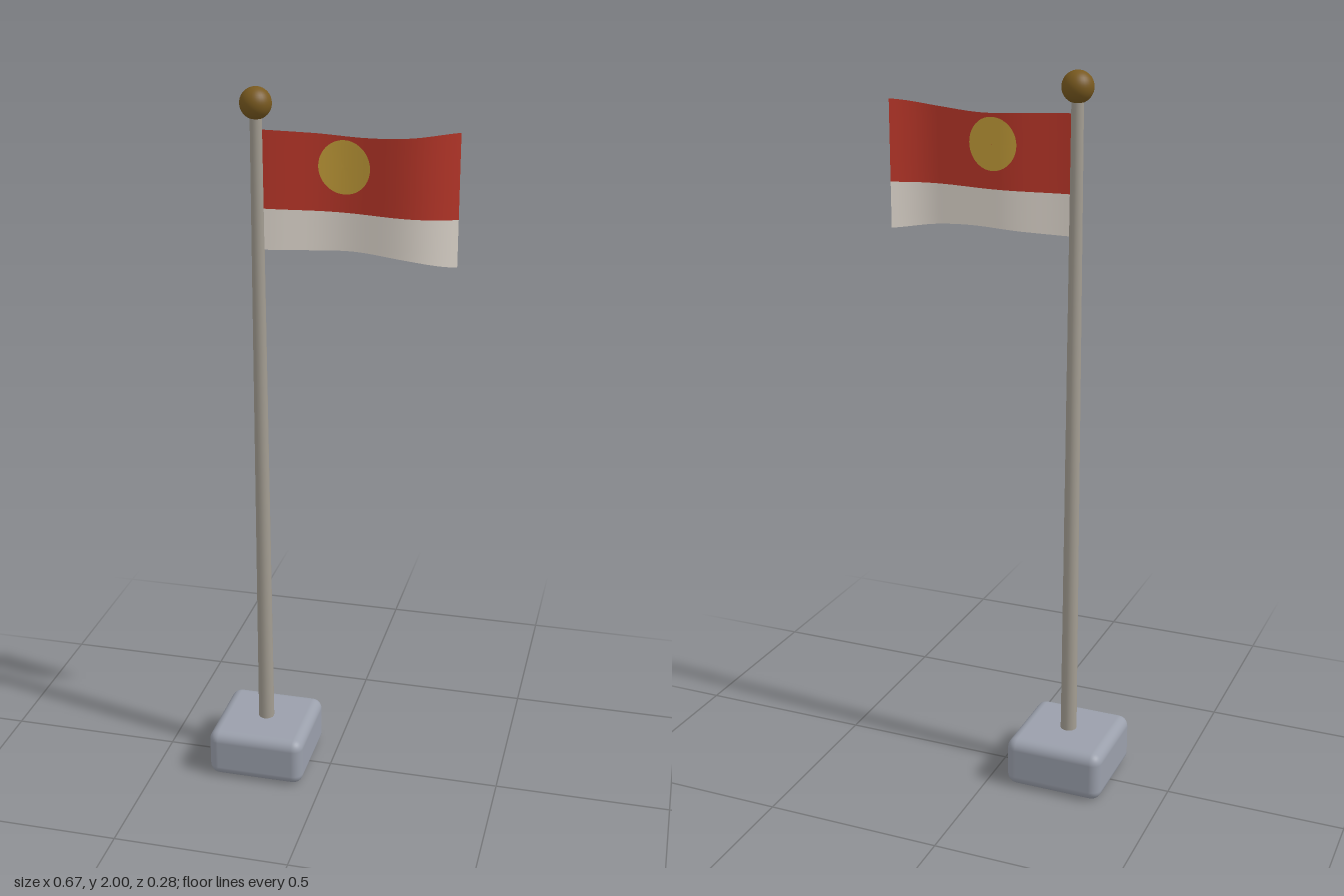
import * as THREE from 'three';
import { RoundedBoxGeometry } from 'three/addons/geometries/RoundedBoxGeometry.js';

const POLE_X = -0.197;
const FLAG_LEFT = -0.185, FLAG_RIGHT = 0.335;
const FLAG_MID = 1.733, STRIPE_Y = 1.685;

function material(name, color, side = THREE.FrontSide) {
  const m = new THREE.MeshStandardMaterial({ color, side });
  m.name = name;
  return m;
}

// depth of the cloth wave, growing away from the pole
function wave(x) {
  const u = (x - FLAG_LEFT) / (FLAG_RIGHT - FLAG_LEFT);
  return -0.034 * u * Math.sin(u * Math.PI * 2);
}

// half height of the cloth: slightly waisted, flaring at the free end
const edge = new THREE.SplineCurve([
  new THREE.Vector2(0, 0.158), new THREE.Vector2(0.25, 0.154),
  new THREE.Vector2(0.5, 0.149), new THREE.Vector2(0.75, 0.157), new THREE.Vector2(1, 0.173),
]);

// one horizontal band of cloth between two height rules
function band(low, high) {
  const g = new THREE.PlaneGeometry(1, 1, 32, 4);
  const p = g.attributes.position;
  for (let i = 0; i < p.count; i++) {
    const u = p.getX(i) + 0.5, v = p.getY(i) + 0.5;
    const half = edge.getPoint(u).y;
    const x = THREE.MathUtils.lerp(FLAG_LEFT, FLAG_RIGHT, u);
    p.setXYZ(i, x, THREE.MathUtils.lerp(low(half), high(half), v), wave(x));
  }
  g.computeVertexNormals();
  return g;
}

// disc that follows the cloth, on its front (1) or back (-1)
function emblem(face) {
  const g = new THREE.RingGeometry(0.0005, 0.07, 40, 6);
  if (face < 0) g.rotateY(Math.PI);
  g.translate(0.035, 1.803, 0);
  const p = g.attributes.position;
  for (let i = 0; i < p.count; i++) p.setZ(i, wave(p.getX(i)) + face * 0.002);
  g.computeVertexNormals();
  return g;
}

export function createModel() {
  const model = new THREE.Group();
  model.name = 'flagpole';
  const stone = material('stone grey', 0x9a9fab);
  const metal = material('pole grey', 0xa39d92);
  const bronze = material('bronze', 0x78591f);
  const red = material('flag red', 0xc0392b, THREE.DoubleSide);
  const white = material('flag white', 0xe8e0d6, THREE.DoubleSide);
  const gold = material('emblem gold', 0xcba33c);

  const add = (name, geometry, mat, x = 0, y = 0, parent = model) => {
    const mesh = new THREE.Mesh(geometry, mat);
    mesh.name = name;
    mesh.position.set(x, y, 0);
    parent.add(mesh);
  };

  // base, pole and ball
  add('base', new RoundedBoxGeometry(0.282, 0.143, 0.282, 4, 0.03), stone, POLE_X, 0.0715);
  add('pole', new THREE.CylinderGeometry(0.016, 0.023, 1.79, 16), metal, POLE_X, 1.035);
  add('finial', new THREE.SphereGeometry(0.042, 32, 20), bronze, POLE_X, 1.958);

  // two-coloured cloth with a disc on both faces
  const flag = new THREE.Group();
  flag.name = 'flag';
  model.add(flag);
  add('upperBand', band(() => STRIPE_Y, h => FLAG_MID + h), red, 0, 0, flag);
  add('lowerBand', band(h => FLAG_MID - h, () => STRIPE_Y), white, 0, 0, flag);
  add('frontEmblem', emblem(1), gold, 0, 0, flag);
  add('backEmblem', emblem(-1), gold, 0, 0, flag);

  return model;
}
